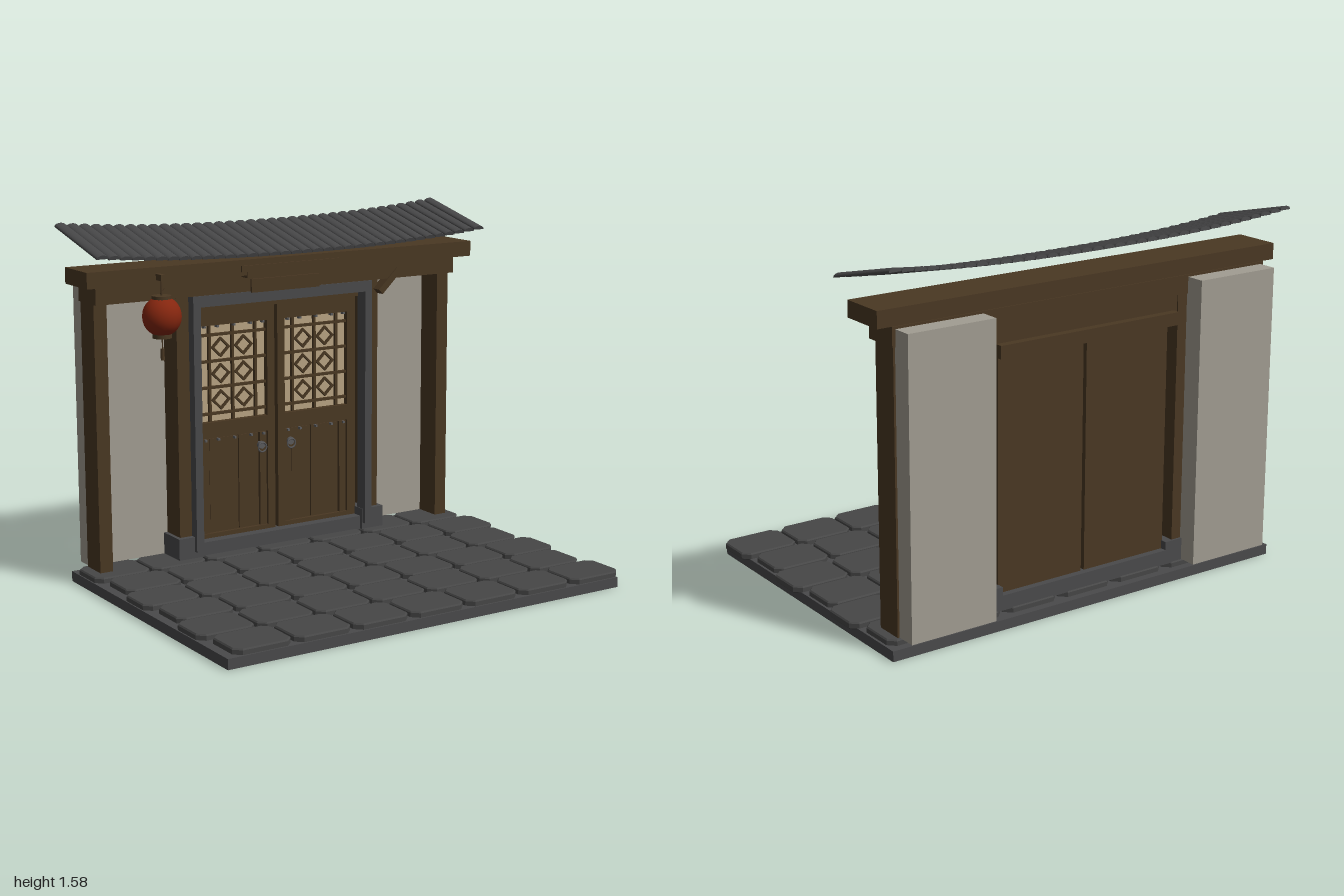
import * as THREE from 'three';

const mat = (name, color) => {
  const m = new THREE.MeshStandardMaterial({ color });
  m.name = name;
  return m;
};

export function createModel() {
  const wood = mat('dark wood', 0x4a3823);
  const stone = mat('grey stone', 0x4a4a4b);
  const paving = mat('paving stone', 0x474747);
  const roofGrey = mat('roof tile', 0x464647);
  const plaster = mat('plaster', 0xa29d92);
  const paper = mat('window paper', 0xb8a482);
  const red = mat('lantern red', 0x85260f);
  const iron = mat('iron', 0x5a5a5c);

  const model = new THREE.Group();
  model.name = 'courtyardGate';
  const group = (name, parent = model) => {
    const g = new THREE.Group();
    g.name = name;
    parent.add(g);
    return g;
  };
  const add = (parent, name, geo, material, x = 0, y = 0, z = 0) => {
    const m = new THREE.Mesh(geo, material);
    m.name = name;
    m.position.set(x, y, z);
    parent.add(m);
    return m;
  };
  // box given by its limits on each axis; the x limits may come in either order
  const box = (parent, name, material, x0, x1, y0, y1, z0, z1) =>
    add(parent, name, new THREE.BoxGeometry(Math.abs(x1 - x0), y1 - y0, z1 - z0), material,
      (x0 + x1) / 2, (y0 + y1) / 2, (z0 + z1) / 2);

  // floor slab and paving in staggered rows
  const floor = group('floor');
  box(floor, 'slab', stone, -0.985, 0.97, 0, 0.045, -0.67, 0.71);
  const W = 0.1275, D = 0.1, C = 0.028;
  const outline = new THREE.Shape([
    [-W + C, -D], [W - C, -D], [W, -D + C], [W, D - C],
    [W - C, D], [-W + C, D], [-W, D - C], [-W, -D + C],
  ].map(([x, y]) => new THREE.Vector2(x, y)));
  const paverGeo = new THREE.ExtrudeGeometry(outline, {
    depth: 0.02, bevelThickness: 0.006, bevelSize: 0.005, bevelSegments: 1,
  });
  paverGeo.rotateX(-Math.PI / 2);
  for (let r = 0; r < 6; r++) {
    for (let c = 0; c < 7; c++) {
      const x = (r % 2 ? -0.847 : -0.812) + c * 0.279;
      add(floor, 'paver', paverGeo, paving, x, 0.044, 0.598 - r * 0.2255);
    }
  }

  const gate = group('gatehouse');
  gate.position.x = -0.007;

  // beams and plaque
  box(gate, 'upperBeam', wood, -0.992, 0.992, 1.33, 1.4, -0.62, -0.41);
  box(gate, 'lowerBeam', wood, -0.93, 0.93, 1.25, 1.33, -0.625, -0.46);
  box(gate, 'beamMoulding', wood, -0.253, 0.253, 1.347, 1.374, -0.42, -0.402);
  box(gate, 'beamMouldingLower', wood, -0.222, 0.222, 1.318, 1.347, -0.47, -0.405);
  box(gate, 'plaque', wood, -0.177, 0.177, 1.245, 1.305, -0.47, -0.448);

  // door surround
  box(gate, 'stoneLintel', stone, -0.467, 0.467, 1.2, 1.25, -0.52, -0.455);
  box(gate, 'threshold', stone, -0.43, 0.43, 0.065, 0.13, -0.63, -0.49);
  box(gate, 'doorHeader', wood, -0.467, 0.467, 1.172, 1.25, -0.615, -0.515);
  box(gate, 'backLedge', wood, -0.45, 0.45, 1.13, 1.185, -0.65, -0.6);

  // lattice diamond
  const diamond = (k) => [[0, -k * 0.96], [k, 0], [0, k * 0.96], [-k, 0]]
    .map(([x, y]) => new THREE.Vector2(x, y));
  const diamondShape = new THREE.Shape(diamond(0.048));
  diamondShape.holes.push(new THREE.Path(diamond(0.034).reverse()));
  const diamondGeo = new THREE.ExtrudeGeometry(diamondShape, { depth: 0.012, bevelEnabled: false });

  for (const s of [-1, 1]) {
    const side = s > 0 ? 'left' : 'right';
    // walls, posts and stone surround
    box(gate, side + 'Wall', plaster, s * 0.515, s * 0.915, 0.07, 1.32, -0.71, -0.62);
    box(gate, side + 'OuterPost', wood, s * 0.863, s * 0.924, 0.065, 1.25, -0.62, -0.495);
    box(gate, side + 'InnerPost', wood, s * 0.467, s * 0.527, 0.065, 1.25, -0.62, -0.5);
    box(gate, side + 'StoneJamb', stone, s * 0.43, s * 0.467, 0.1, 1.2, -0.52, -0.455);
    box(gate, side + 'PostFoot', stone, s * 0.427, s * 0.545, 0.065, 0.167, -0.63, -0.475);
    const brace = add(gate, side + 'Brace', new THREE.BoxGeometry(0.14, 0.03, 0.055), wood,
      s * 0.565, 1.24, -0.48);
    brace.rotation.z = s * 0.76;

    // door leaf: board, frame and rails
    const door = group(side + 'Door', gate);
    const part = (name, material, x0, x1, y0, y1, z0, z1) =>
      box(door, name, material, s * x0, s * x1, y0, y1, z0, z1);
    part('doorBoard', wood, 0.008, 0.43, 0.13, 1.175, -0.6, -0.575);
    part('meetingStile', wood, 0.008, 0.046, 0.13, 1.175, -0.575, -0.54);
    part('hingeStile', wood, 0.386, 0.43, 0.13, 1.175, -0.575, -0.54);
    part('topRail', wood, 0.046, 0.386, 1.1, 1.175, -0.575, -0.54);
    part('middleRail', wood, 0.046, 0.386, 0.59, 0.662, -0.575, -0.54);
    part('bottomRail', wood, 0.046, 0.386, 0.13, 0.15, -0.575, -0.54);

    // lattice window
    part('windowPaper', paper, 0.046, 0.386, 0.662, 1.1, -0.575, -0.568);
    for (const x of [0.098, 0.216, 0.334])
      part('latticeUpright', wood, x - 0.006, x + 0.006, 0.662, 1.1, -0.568, -0.553);
    for (const y of [0.698, 0.817, 0.936, 1.055])
      part('latticeRail', wood, 0.046, 0.386, y - 0.006, y + 0.006, -0.568, -0.552);
    for (const x of [0.157, 0.275])
      for (const y of [0.757, 0.877, 0.996])
        add(door, 'latticeDiamond', diamondGeo, wood, s * x, y, -0.568);

    // lower planks, studs and ring knocker
    for (const [a, b] of [[0.049, 0.083], [0.088, 0.19], [0.195, 0.342], [0.347, 0.383]])
      part('doorPlank', wood, a, b, 0.15, 0.585, -0.575, b - a > 0.05 ? -0.555 : -0.548);
    for (const x of [0.066, 0.13, 0.216, 0.3, 0.366])
      for (const y of [0.58, 1.095])
        part('stud', iron, x - 0.005, x + 0.005, y - 0.005, y + 0.005, -0.56, -0.537);
    const plate = add(door, 'knockerPlate', new THREE.CylinderGeometry(0.018, 0.018, 0.02, 12),
      iron, s * 0.077, 0.527, -0.548);
    plate.rotation.x = Math.PI / 2;
    add(door, 'knockerRing', new THREE.TorusGeometry(0.021, 0.004, 6, 20), iron, s * 0.077, 0.517, -0.535);
  }

  // roof of arched tiles, sloping to the front and lifting at both ends
  const roof = group('roof', gate);
  const COUNT = 36, PITCH = 1.986 / COUNT, RUN = 0.4, FALL = 0.097;
  const arch = new THREE.Shape();
  arch.moveTo(-0.0265, 0);
  arch.lineTo(0.0265, 0);
  arch.absellipse(0, 0.003, 0.0265, 0.014, 0, Math.PI, false);
  arch.closePath();
  const tileGeo = new THREE.ExtrudeGeometry(arch, {
    depth: Math.hypot(RUN, FALL), bevelEnabled: false, curveSegments: 8,
  });
  for (let i = 0; i < COUNT; i++) {
    const x = (i - (COUNT - 1) / 2) * PITCH;
    const lift = 0.046 * Math.abs(x) ** 2.4;
    const tile = add(roof, 'roofTile', tileGeo, roofGrey, x, 1.52 + lift, -0.712);
    tile.rotation.x = Math.atan2(FALL, RUN);
  }

  // hanging lantern
  const lantern = group('lantern');
  lantern.position.set(-0.667, 0, -0.38);
  const rod = (name, material, r, y0, y1, n = 12) =>
    add(lantern, name, new THREE.CylinderGeometry(r, r, y1 - y0, n), material, 0, (y0 + y1) / 2, 0);
  box(lantern, 'hangerArm', wood, -0.01, 0.01, 1.345, 1.372, -0.035, 0.016);
  rod('cord', wood, 0.004, 1.28, 1.36, 6);
  const body = add(lantern, 'lanternBody', new THREE.SphereGeometry(0.085, 20, 14), red, 0, 1.193, 0);
  body.scale.y = 1.02;
  rod('topCap', wood, 0.042, 1.265, 1.282, 16);
  rod('bottomCap', wood, 0.042, 1.1, 1.118, 16);
  rod('tasselCord', wood, 0.003, 1.04, 1.1, 6);
  rod('tassel', wood, 0.009, 1.003, 1.053, 8);

  return model;
}
